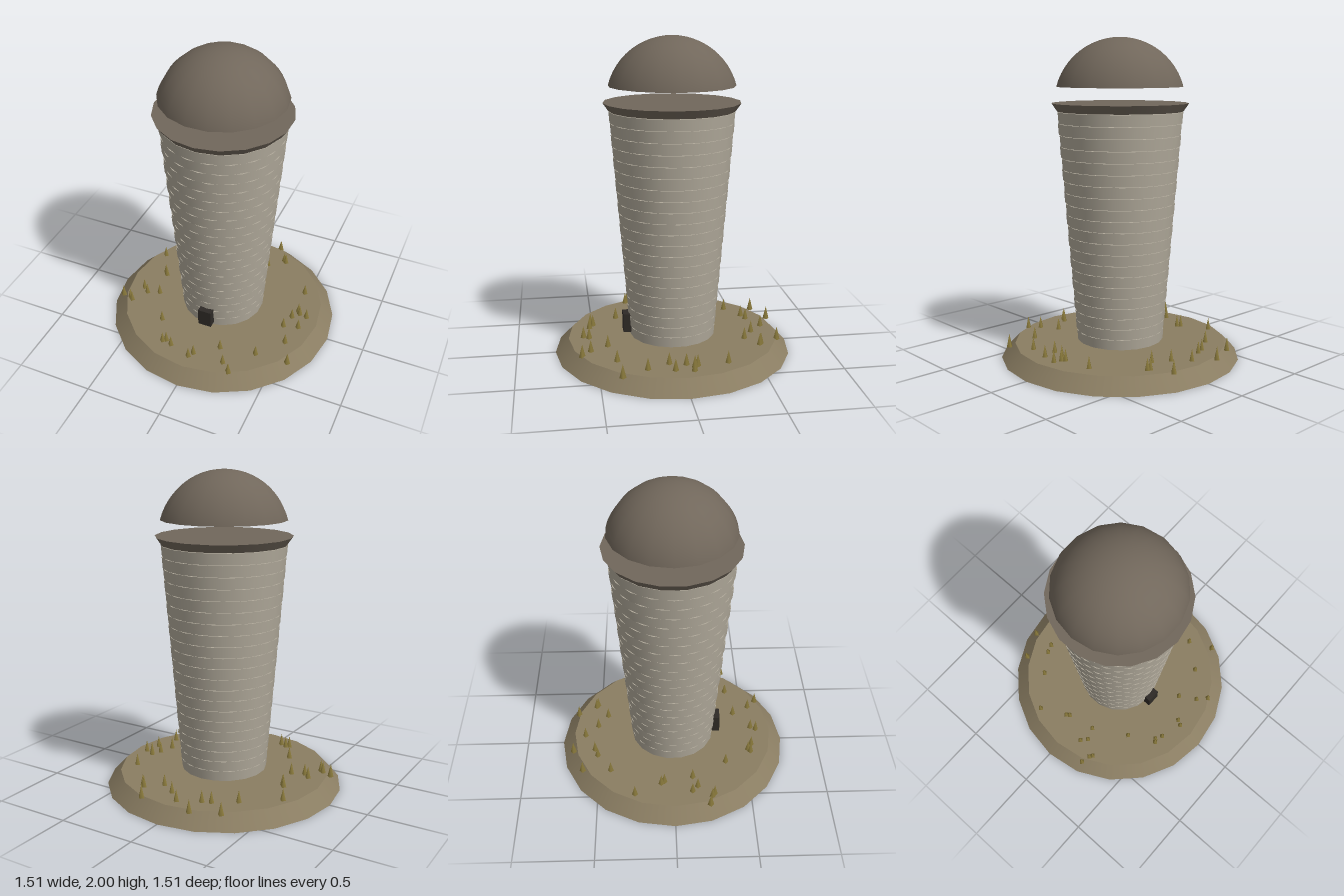
import * as THREE from 'three';

const mat = (color, side = THREE.FrontSide) => new THREE.MeshStandardMaterial({ color, side });

// Grass tuft positions as [x, z]
const TUFTS = [
  [-0.17, -0.67], [-0.345, -0.6], [-0.03, -0.595], [0.185, -0.65], [-0.22, -0.505], [-0.165, -0.525],
  [0.06, -0.51], [0.255, -0.53], [0.27, -0.52], [0.16, -0.445], [-0.355, -0.415], [-0.565, -0.255],
  [0.5, -0.27], [-0.48, -0.085], [-0.465, -0.065], [0.52, -0.08], [0.535, -0.06], [0.585, -0.05],
  [0.495, -0.015], [0.47, 0.085], [0.565, 0.06], [0.53, 0.22], [-0.55, 0.115], [-0.51, 0.15],
  [-0.43, 0.12], [-0.655, 0.225], [-0.595, 0.24], [-0.575, 0.255], [-0.3, 0.345], [0.39, 0.39],
  [0.6, 0.375], [0.16, 0.43], [-0.21, 0.52], [-0.19, 0.505], [-0.145, 0.53], [0.02, 0.54],
  [0, 0.575], [0.225, 0.54], [0.285, 0.595],
];

export function createModel() {
  const model = new THREE.Group();
  const add = (name, geometry, material, x, y, z, parent = model) => {
    const mesh = new THREE.Mesh(geometry, material);
    mesh.name = name;
    mesh.position.set(x, y, z);
    parent.add(mesh);
    return mesh;
  };

  // Earth mound
  add('mound', new THREE.CylinderGeometry(0.67, 0.755, 0.09, 20), mat(0x8a7d62), 0, 0.045, 0);

  // Tower: flaring stone courses, every other one turned by half a side
  const tower = new THREE.Group();
  tower.name = 'tower';
  model.add(tower);
  const stone = mat(0xb0a99a);
  const COURSES = 21, SIDES = 18, BOTTOM = 0.106, TOP = 1.55, GAP = 0.003;
  const radiusAt = (y) => THREE.MathUtils.mapLinear(y, BOTTOM, TOP, 0.273, 0.39);
  let y0 = BOTTOM;
  for (let i = 0; i < COURSES; i++) {
    const step = ((TOP - BOTTOM) / COURSES) * (1 + 0.045 * (i / 10 - 1));
    const y1 = y0 + step - GAP;
    const course = add('course', new THREE.CylinderGeometry(radiusAt(y1), radiusAt(y0), y1 - y0, SIDES),
      stone, 0, (y0 + y1) / 2, 0, tower);
    course.rotation.y = (i % 2) * Math.PI / SIDES;
    y0 += step;
  }

  // Flared rim and the open dome floating above it
  const roof = 0x71675b;
  add('rim', new THREE.CylinderGeometry(0.425, 0.39, 0.05, 18), mat(roof), 0, 1.575, 0);
  const R = 0.405;
  add('dome', new THREE.SphereGeometry(R, 18, 12, 0, Math.PI * 2, 0, Math.PI / 2.4),
    mat(roof, THREE.DoubleSide), 0, 2 - R, 0);

  // Door
  add('door', new THREE.BoxGeometry(0.09, 0.12, 0.05), mat(0x2e2a26), 0, 0.19, 0.295);

  // Grass tufts
  const grass = new THREE.Group();
  grass.name = 'grass';
  model.add(grass);
  const tuft = new THREE.ConeGeometry(0.021, 0.085, 4);
  const straw = mat(0x8a7a3c);
  for (const [x, z] of TUFTS) add('tuft', tuft, straw, x, 0.125, z, grass);

  return model;
}
